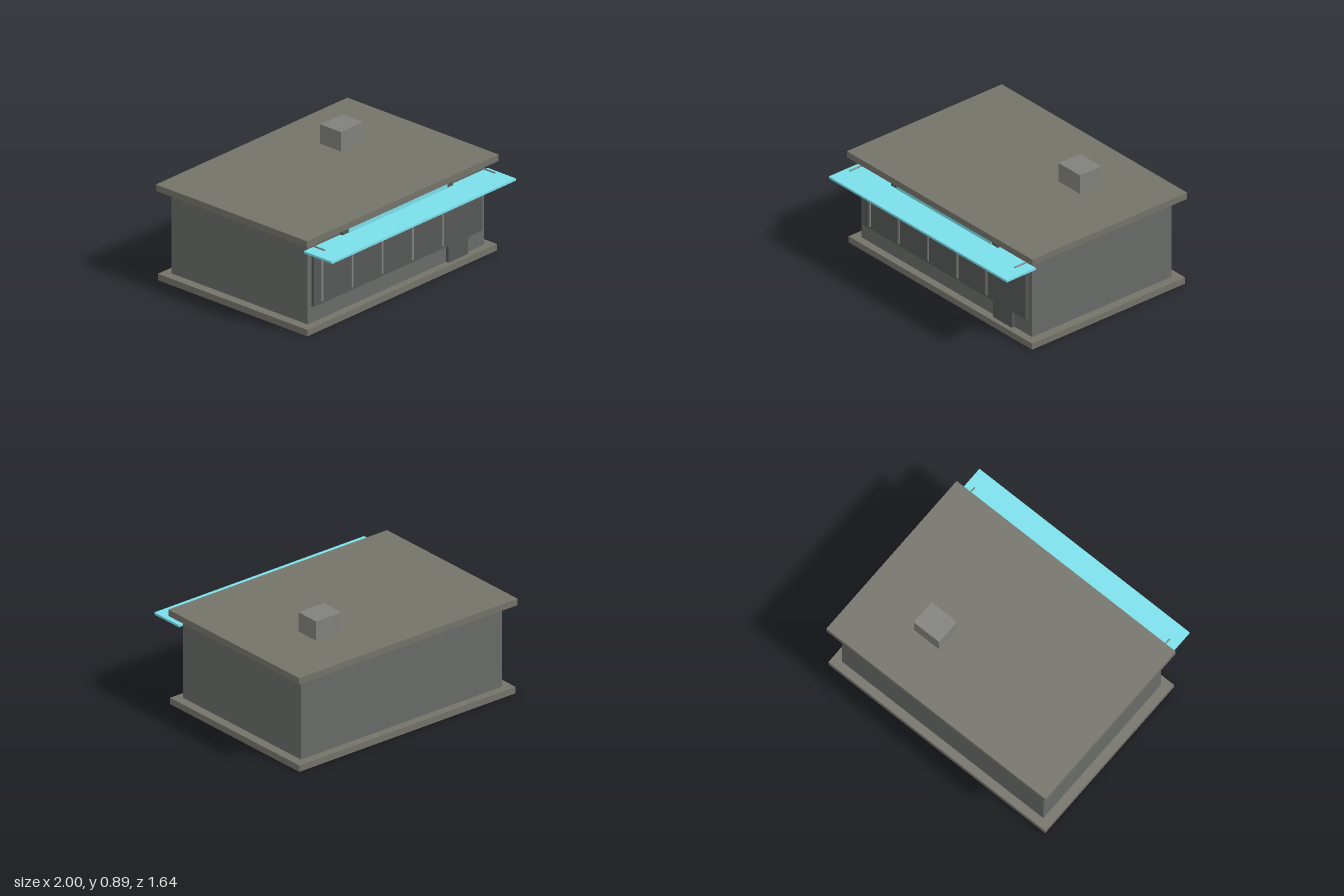
import * as THREE from 'three';

const paint = (color) => new THREE.MeshStandardMaterial({ color });

export function createModel() {
  const model = new THREE.Group();
  const slabGrey = paint(0x74736a);
  const wallGrey = paint(0x686b68);
  const panelGrey = paint(0x555857);
  const trimGrey = paint(0x80807c);
  const cyan = paint(0x7bdfea);

  // Box given by its extents on each axis
  function box(name, [x0, x1], [y0, y1], [z0, z1], material) {
    const mesh = new THREE.Mesh(new THREE.BoxGeometry(x1 - x0, y1 - y0, z1 - z0), material);
    mesh.position.set((x0 + x1) / 2, (y0 + y1) / 2, (z0 + z1) / 2);
    mesh.name = name;
    model.add(mesh);
  }

  // Main building
  box('base', [-0.99, 0.99], [0, 0.05], [-0.81, 0.61], slabGrey);
  box('walls', [-0.92, 0.92], [0.05, 0.69], [-0.745, 0.55], wallGrey);
  box('roof', [-1, 1], [0.69, 0.74], [-0.82, 0.617], slabGrey);
  box('roofVent', [0.29, 0.522], [0.74, 0.89], [-0.433, -0.237], trimGrey);

  // Shop window with the door reaching down to the base
  const outline = [
    [-0.88, 0.18], [0.525, 0.18], [0.525, 0.05], [0.73, 0.05],
    [0.73, 0.18], [0.88, 0.18], [0.88, 0.59], [-0.88, 0.59],
  ];
  const shape = new THREE.Shape(outline.map(([x, y]) => new THREE.Vector2(x, y)));
  const front = new THREE.Mesh(
    new THREE.ExtrudeGeometry(shape, { depth: 0.025, bevelEnabled: false }), panelGrey);
  front.position.z = 0.55;
  front.name = 'windowAndDoor';
  model.add(front);

  // Window bars
  for (let i = 0; i < 5; i++) {
    const x = -0.8 + i * 0.315;
    box('windowBar', [x - 0.009, x + 0.009], [0.2, 0.565], [0.57, 0.582], trimGrey);
  }

  // Sign board above the awning
  box('signBoard', [-0.58, 0.575], [0.63, 0.69], [0.55, 0.57], panelGrey);
  box('signPanel', [-0.515, 0.512], [0.63, 0.69], [0.565, 0.576], cyan);

  // Awning and its two support rods
  box('awning', [-0.96, 0.96], [0.613, 0.63], [0.55, 0.82], cyan);
  for (const side of [-1, 1]) {
    const rod = new THREE.Mesh(new THREE.CylinderGeometry(0.006, 0.006, 0.137, 10), trimGrey);
    rod.rotation.x = Math.PI / 2;
    rod.position.set(side * 0.89, 0.655, 0.6165);
    rod.name = 'awningRod';
    model.add(rod);
  }

  return model;
}
